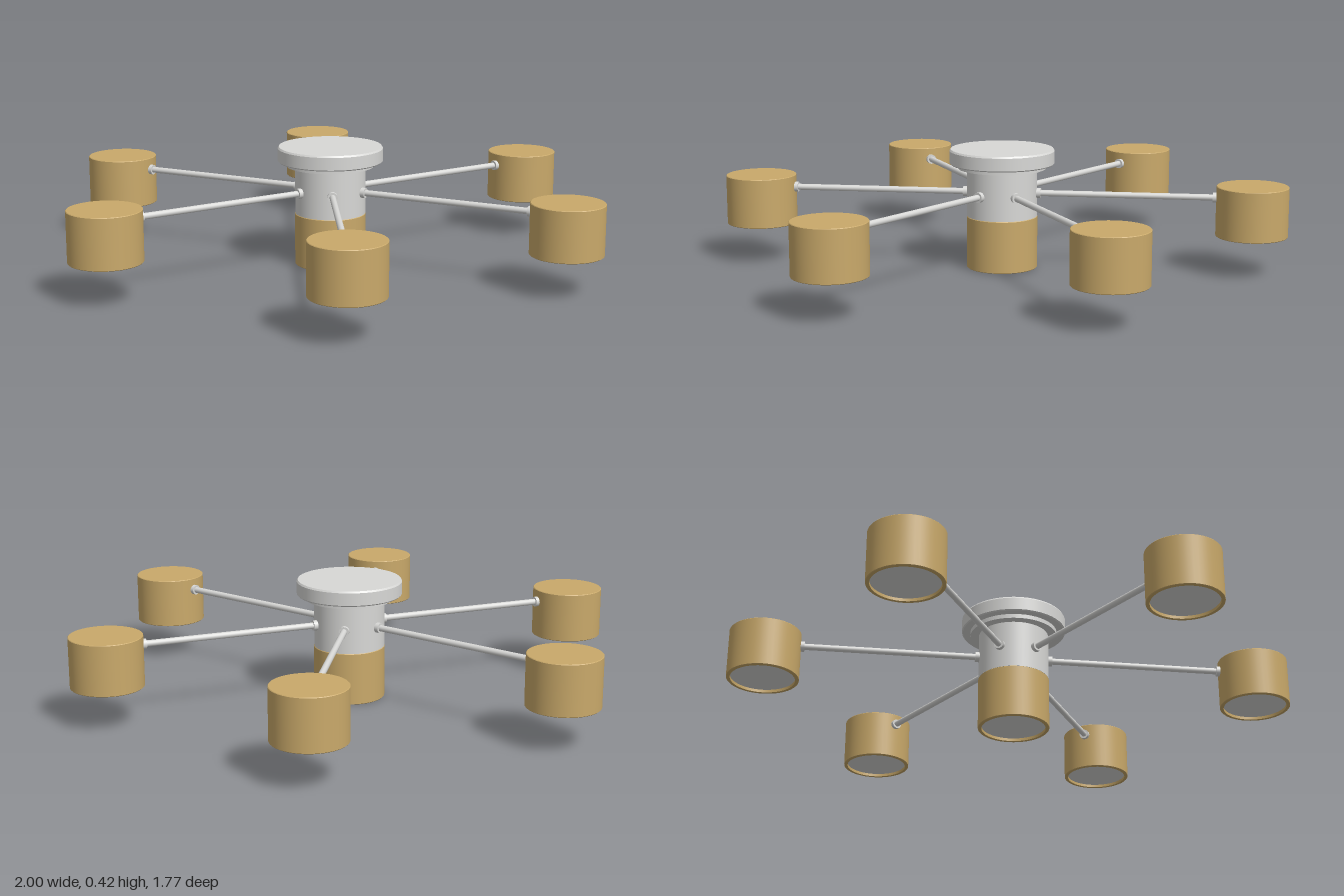
import * as THREE from 'three';

const brass = new THREE.MeshStandardMaterial({ color: 0xc9a96a });
brass.name = 'brass';
const silver = new THREE.MeshStandardMaterial({ color: 0xd8d8d6 });
silver.name = 'silver';

function add(parent, name, geometry, material, x = 0, y = 0, z = 0) {
  const mesh = new THREE.Mesh(geometry, material);
  mesh.name = name;
  mesh.position.set(x, y, z);
  parent.add(mesh);
  return mesh;
}

// Lathe with crisp edges: each profile segment gets its own normals
function turned(parent, name, profile, material, y = 0) {
  const group = new THREE.Group();
  group.name = name;
  group.position.y = y;
  for (let i = 0; i < profile.length - 1; i++) {
    const points = [profile[i], profile[i + 1]].map(([r, h]) => new THREE.Vector2(r, h));
    add(group, name + 'Surface', new THREE.LatheGeometry(points, 48), material);
  }
  parent.add(group);
}

// Drum shade with closed top, thin rim and a recessed diffuser underneath
function makeShade(name, height) {
  const shade = new THREE.Group();
  shade.name = name;
  const R = 0.125, inner = 0.112, recess = 0.01;
  turned(shade, 'drum', [
    [inner, recess], [inner, 0], [R - 0.002, 0], [R, 0.002],
    [R, height - 0.002], [R - 0.002, height], [0, height],
  ], brass);
  const diffuser = add(shade, 'diffuser', new THREE.CircleGeometry(inner, 48), silver, 0, recess, 0);
  diffuser.rotation.x = Math.PI / 2;
  return shade;
}

export function createModel() {
  const model = new THREE.Group();
  model.name = 'ceilingLamp';

  // Ceiling plate with its stepped underside
  turned(model, 'ceilingPlate', [
    [0, 0.355], [0.155, 0.355], [0.155, 0.37], [0.181, 0.37], [0.185, 0.374],
    [0.185, 0.418], [0.181, 0.424], [0, 0.424],
  ], silver);

  // Hub and the central shade below it
  add(model, 'hub', new THREE.CylinderGeometry(0.124, 0.124, 0.175, 48), silver, 0, 0.2725, 0);
  model.add(makeShade('centralShade', 0.185));

  // Six arms, each with a collar at both ends and a shade
  const armY = 0.268;
  for (let i = 0; i < 6; i++) {
    const arm = new THREE.Group();
    arm.name = 'arm';
    arm.rotation.y = (i * Math.PI) / 3;
    const rod = add(arm, 'rod', new THREE.CylinderGeometry(0.011, 0.011, 0.65, 16), silver, 0.437, armY, 0);
    rod.rotation.z = Math.PI / 2;
    for (const x of [0.128, 0.748]) {
      const collar = add(arm, 'collar', new THREE.CylinderGeometry(0.018, 0.018, 0.02, 20), silver, x, armY, 0);
      collar.rotation.z = Math.PI / 2;
    }
    const shade = makeShade('armShade', 0.176);
    shade.position.set(0.875, 0.135, 0);
    arm.add(shade);
    model.add(arm);
  }
  return model;
}
